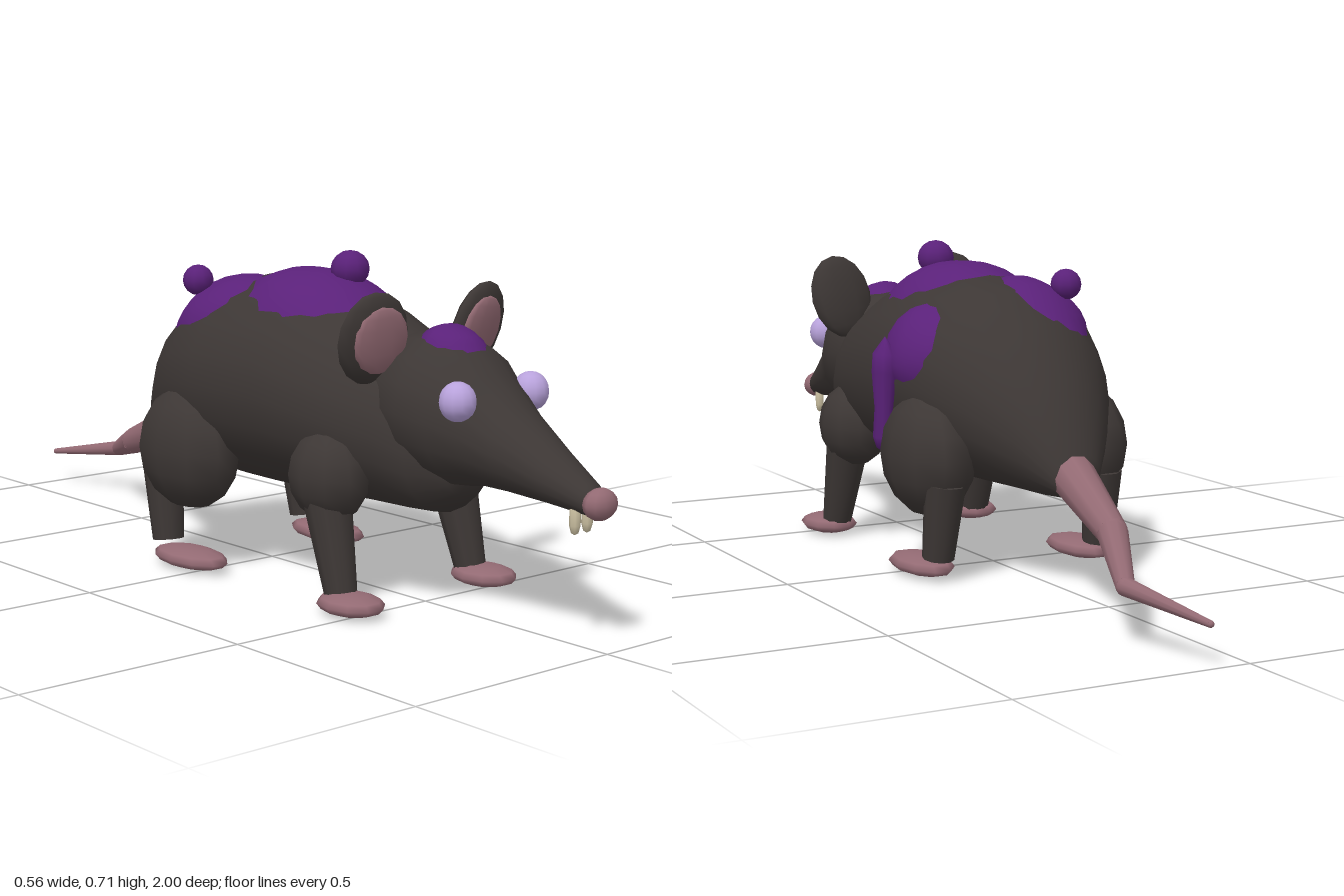
import * as THREE from 'three';

const mat = (name, color) => {
  const m = new THREE.MeshStandardMaterial({ color });
  m.name = name;
  return m;
};

// Cross-sections: [z, centre height, half height, half width], back to front
const BODY = [
  [-0.385, 0.25, 0.005, 0.005], [-0.37, 0.255, 0.05, 0.055], [-0.3, 0.325, 0.125, 0.115],
  [-0.2, 0.38, 0.18, 0.18], [-0.1, 0.41, 0.212, 0.222], [0, 0.42, 0.225, 0.237],
  [0.1, 0.422, 0.228, 0.236], [0.2, 0.42, 0.225, 0.232], [0.3, 0.408, 0.21, 0.222],
  [0.4, 0.39, 0.188, 0.2], [0.5, 0.37, 0.168, 0.165], [0.57, 0.34, 0.135, 0.135],
  [0.62, 0.31, 0.06, 0.07], [0.63, 0.31, 0.005, 0.005],
];
const HEAD = [
  [0.4, 0.43, 0.005, 0.005], [0.42, 0.43, 0.1, 0.1], [0.48, 0.43, 0.14, 0.14],
  [0.56, 0.425, 0.15, 0.152], [0.63, 0.412, 0.143, 0.138], [0.69, 0.392, 0.113, 0.11],
  [0.76, 0.363, 0.085, 0.085], [0.86, 0.327, 0.055, 0.058], [0.95, 0.296, 0.032, 0.034],
  [0.975, 0.29, 0.005, 0.005],
];

// Point on a lofted surface; angle runs from the top toward +x
function surfacePoint(sections, z, a, lift = 0) {
  let i = 0;
  while (i < sections.length - 2 && z > sections[i + 1][0]) i++;
  const p = sections[i], q = sections[i + 1];
  const t = THREE.MathUtils.clamp((z - p[0]) / (q[0] - p[0]), 0, 1);
  const [cy, ry, rx] = [1, 2, 3].map((k) => p[k] + (q[k] - p[k]) * t);
  return [(rx + lift) * Math.sin(a), cy + (ry + lift) * Math.cos(a), z];
}

function indexed(pos, idx) {
  const g = new THREE.BufferGeometry();
  g.setAttribute('position', new THREE.Float32BufferAttribute(pos, 3));
  g.setIndex(idx);
  g.computeVertexNormals();
  return g;
}

function loft(sections, sides = 20) {
  const pos = [], idx = [];
  sections.forEach(([z], i) => {
    for (let j = 0; j < sides; j++) {
      pos.push(...surfacePoint(sections, z, (j / sides) * Math.PI * 2));
      if (i === sections.length - 1) continue;
      const a = i * sides + j, b = i * sides + (j + 1) % sides;
      idx.push(a, a + sides, b, b, a + sides, b + sides);
    }
  });
  return indexed(pos, idx);
}

// Domed blotch that follows a lofted surface
function blotch(sections, z0, a0, rz, ra, height) {
  const rings = 5, segs = 14, idx = [];
  const pos = [...surfacePoint(sections, z0, a0, height)];
  for (let r = 1; r <= rings; r++) {
    const f = r / rings;
    for (let s = 0; s < segs; s++) {
      const t = (s / segs) * Math.PI * 2, n = (s + 1) % segs;
      pos.push(...surfacePoint(sections, z0 + rz * f * Math.cos(t), a0 + ra * f * Math.sin(t),
        (height + 0.006) * (1 - f ** 3) - 0.006));
      const o = 1 + (r - 1) * segs, p = o - segs;
      if (r === 1) idx.push(0, o + s, o + n);
      else idx.push(p + s, o + s, o + n, p + s, o + n, p + n);
    }
  }
  return indexed(pos, idx);
}

export function createModel() {
  const root = new THREE.Group();
  root.name = 'rat';
  const fur = mat('dark fur', 0x3d3735);
  const skin = mat('pink skin', 0x936a73);
  const slime = mat('purple growth', 0x5a2179);
  const eyeMat = mat('lilac eye', 0xb9a3dc);
  const toothMat = mat('ivory tooth', 0xc8bd9f);

  const add = (name, geo, material, parent = root) => {
    const m = new THREE.Mesh(geo, material);
    m.name = name;
    parent.add(m);
    return m;
  };
  const ball = (name, material, p, r, parent = root, w = 10, h = 8) => {
    const m = add(name, new THREE.SphereGeometry(1, w, h), material, parent);
    m.position.set(...p);
    m.scale.set(...r);
    return m;
  };
  // Tapered limb between two points
  const limb = (name, material, from, to, r0, r1, sides = 10) => {
    const a = new THREE.Vector3(...from), b = new THREE.Vector3(...to);
    const m = add(name, new THREE.CylinderGeometry(r1, r0, a.distanceTo(b), sides), material);
    m.position.copy(a).add(b).multiplyScalar(0.5);
    m.quaternion.setFromUnitVectors(new THREE.Vector3(0, 1, 0), b.sub(a).normalize());
    return m;
  };

  add('body', loft(BODY), fur);
  add('head', loft(HEAD, 16), fur);
  ball('nose', skin, [0, 0.29, 0.972], [0.04, 0.032, 0.028]);

  // Paired parts
  for (const s of [1, -1]) {
    const side = s > 0 ? 'left' : 'right';
    ball(side + 'Eye', eyeMat, [s * 0.102, 0.46, 0.69], [0.038, 0.04, 0.038], root, 12, 10);

    const tooth = add(side + 'Tooth', new THREE.LatheGeometry([[0, -0.024], [0.007, -0.02],
      [0.011, -0.005], [0.011, 0.03], [0, 0.03]].map((p) => new THREE.Vector2(...p)), 8), toothMat);
    tooth.position.set(s * 0.017, 0.248, 0.925);

    const ear = new THREE.Group();
    ear.name = side + 'Ear';
    ear.position.set(s * 0.146, 0.566, 0.492);
    ear.rotation.set(0.24, s * 0.15, -s * 0.15);
    root.add(ear);
    ball('earShell', fur, [0, 0, 0], [0.083, 0.099, 0.026], ear);
    ball('earInner', skin, [-s * 0.008, 0, 0.017], [0.064, 0.072, 0.014], ear);

    // Front leg
    ball(side + 'Shoulder', fur, [s * 0.165, 0.275, 0.385], [0.08, 0.098, 0.096]);
    limb(side + 'Foreleg', fur, [s * 0.178, 0.24, 0.39], [s * 0.185, 0.035, 0.445], 0.052, 0.034);
    ball(side + 'Forefoot', skin, [s * 0.19, 0.026, 0.48], [0.064, 0.023, 0.08], root, 10, 6);

    // Hind leg
    ball(side + 'Thigh', fur, [s * 0.19, 0.27, -0.055], [0.092, 0.136, 0.146]);
    limb(side + 'Hindleg', fur, [s * 0.195, 0.22, -0.147], [s * 0.2, 0.053, -0.122], 0.045, 0.035);
    ball(side + 'Hindfoot', skin, [s * 0.2, 0.027, -0.04], [0.06, 0.023, 0.112], root, 10, 6);
  }

  // Tail of three tapering sections, with a rounded tip
  const tail = [[0, 0.258, -0.34, 0.05], [0.045, 0.178, -0.585, 0.032],
    [0.135, 0.118, -0.78, 0.019], [0.082, 0.085, -0.99, 0.007]];
  for (let i = 0; i < 3; i++) {
    const a = tail[i], b = tail[i + 1];
    limb('tailSection' + (i + 1), skin, a.slice(0, 3), b.slice(0, 3), a[3], b[3]);
    ball('tailJoint' + (i + 1), skin, b.slice(0, 3), [b[3], b[3], b[3]]);
  }

  // Purple growths on back, flank and crown
  add('backGrowth', blotch(BODY, 0.18, 0, 0.18, 0.8, 0.022), slime);
  add('rumpGrowth', blotch(BODY, -0.08, -0.47, 0.13, 0.55, 0.018), slime);
  add('flankGrowth', blotch(BODY, 0, 1.13, 0.1, 0.46, 0.018), slime);
  add('crownGrowth', blotch(HEAD, 0.575, 0, 0.075, 0.5, 0.017), slime);
  ball('backWart', slime, [0.027, 0.672, 0.228], [0.042, 0.04, 0.042]);
  ball('rumpWart', slime, [-0.125, 0.63, -0.105], [0.034, 0.034, 0.034]);

  // Drip running down the flank
  const drip = add('flankDrip', new THREE.LatheGeometry([[0, -0.128], [0.018, -0.12], [0.028, -0.095],
    [0.025, -0.03], [0.034, 0.05], [0.032, 0.09], [0, 0.128]].map((p) => new THREE.Vector2(...p)), 10), slime);
  drip.position.set(0.248, 0.393, 0.043);
  drip.scale.x = 0.8;
  drip.rotation.x = -0.05;

  return root;
}
